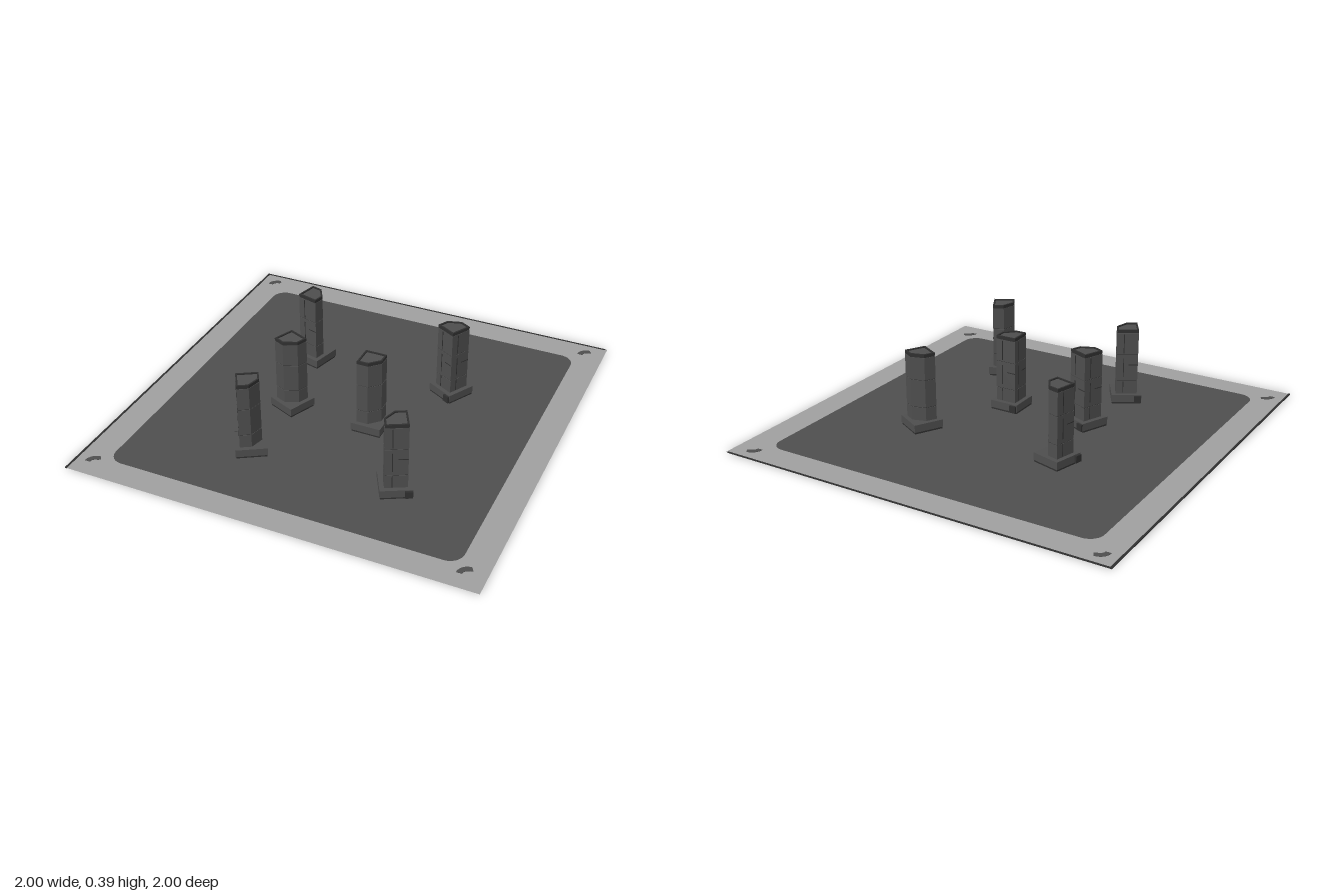
import * as THREE from 'three';

const mat = (name, color, side = THREE.FrontSide) => {
  const m = new THREE.MeshStandardMaterial({ color, side });
  m.name = name;
  return m;
};

// Shape drawn in (x, z), extruded from height y0 up to y1
function prism(shape, y0, y1) {
  const g = new THREE.ExtrudeGeometry(shape, { depth: y1 - y0, bevelEnabled: false, curveSegments: 8 });
  return g.rotateX(Math.PI / 2).translate(0, y1, 0);
}

function add(parent, name, geometry, material) {
  const m = new THREE.Mesh(geometry, material);
  m.name = name;
  parent.add(m);
  return m;
}

// Square of half width h with its +x +z corner cut off
const cutSquare = (h, cut) => new THREE.Shape([
  [-h, -h], [h, -h], [h, h - cut], [h - cut, h], [-h, h],
].map(([x, y]) => new THREE.Vector2(x, y)));

function roundedSquare(path, x0, x1, y0, y1, r) {
  path.moveTo(x0 + r, y0);
  path.lineTo(x1 - r, y0).absarc(x1 - r, y0 + r, r, -Math.PI / 2, 0);
  path.lineTo(x1, y1 - r).absarc(x1 - r, y1 - r, r, 0, Math.PI / 2);
  path.lineTo(x0 + r, y1).absarc(x0 + r, y1 - r, r, Math.PI / 2, Math.PI);
  path.lineTo(x0, y0 + r).absarc(x0 + r, y0 + r, r, Math.PI, Math.PI * 1.5);
  return path;
}

function createTower(stone, trim) {
  const tower = new THREE.Group();
  const box = (name, w, h, d, x, y, z, m) =>
    add(tower, name, new THREE.BoxGeometry(w, h, d).translate(x, y, z), m);

  // plinth with a narrow foot and a small tab
  box('plinthFoot', 0.145, 0.012, 0.145, 0, 0.006, 0, trim);
  box('plinth', 0.15, 0.038, 0.15, 0, 0.031, 0, stone);
  box('plinthTab', 0.035, 0.035, 0.014, -0.056, 0.028, -0.078, trim);

  // column sections separated by recessed seams
  const levels = [0.05, 0.12, 0.26, 0.375];
  for (let i = 0; i < 3; i++) {
    add(tower, 'columnSection', prism(cutSquare(0.053, 0.05), levels[i], levels[i + 1] - 0.003), stone);
    add(tower, 'columnSeam', prism(cutSquare(0.051, 0.049), levels[i + 1] - 0.003, levels[i + 1]), trim);
  }

  // raised rim around the roof
  const rim = cutSquare(0.053, 0.05);
  rim.holes.push(cutSquare(0.045, 0.045));
  add(tower, 'roofRim', prism(rim, 0.375, 0.39), trim);
  add(tower, 'roof', prism(cutSquare(0.0455, 0.045), 0.375, 0.384), stone);

  // thin panel lines on the full-width walls
  for (const y of [0.085, 0.19, 0.317]) {
    const h = y < 0.1 ? 0.062 : 0.1;
    box('panelLine', 0.004, h, 0.003, 0.018, y, -0.053, trim);
    box('panelLine', 0.003, h, 0.004, -0.053, y, -0.018, trim);
  }
  box('panelLine', 0.045, 0.004, 0.003, -0.03, 0.205, -0.053, trim);
  box('panelLine', 0.003, 0.004, 0.045, -0.053, 0.205, 0.03, trim);
  return tower;
}

export function createModel() {
  const stone = mat('dark grey', 0x4e4e4e);
  const floorMat = mat('floor grey', 0x4f4f4f, THREE.DoubleSide);
  const borderMat = mat('border grey', 0x9f9f9f, THREE.DoubleSide);
  const trim = mat('charcoal trim', 0x303030);
  const model = new THREE.Group();
  model.name = 'towerField';

  // flat ground: rounded dark field inside a light border
  const inner = [-0.855, 0.865, -0.85, 0.87, 0.07];
  const field = roundedSquare(new THREE.Shape(), ...inner);
  const border = new THREE.Shape([[-1, -1], [1, -1], [1, 1], [-1, 1]].map(p => new THREE.Vector2(...p)));
  border.holes.push(roundedSquare(new THREE.Path(), ...inner));
  const flat = s => {
    const g = new THREE.ShapeGeometry(s, 8).scale(1, -1, 1);
    // reverse the winding after the flip so the face looks up
    const ix = g.index.array;
    for (let i = 0; i < ix.length; i += 3) [ix[i], ix[i + 1]] = [ix[i + 1], ix[i]];
    g.rotateX(-Math.PI / 2).translate(0, 0.003, 0);
    g.computeVertexNormals();
    return g;
  };
  add(model, 'groundField', flat(field), floorMat);
  add(model, 'groundBorder', flat(border), borderMat);

  // dark edging along two sides
  add(model, 'leftEdge', new THREE.BoxGeometry(0.01, 0.004, 2).translate(-0.995, 0.003, 0), trim);
  add(model, 'backEdge', new THREE.BoxGeometry(1.98, 0.004, 0.008).translate(0, 0.003, -0.996), trim);

  // curved corner marks
  const mark = new THREE.Shape();
  mark.absarc(0.025, 0.022, 0.052, Math.PI, Math.PI * 1.5, false);
  mark.lineTo(0.036, -0.012);
  mark.absarc(0.025, 0.022, 0.026, Math.PI * 1.5, Math.PI, true);
  for (const x of [-0.92, 0.895]) for (const z of [-0.92, 0.895]) {
    add(model, 'cornerMark', prism(mark, 0.001, 0.005), stone).position.set(x, 0, z);
  }

  // six towers: x, z, clockwise turn in degrees
  const places = [
    [-0.36, -0.3, -75], [0.39, -0.295, 209], [-0.275, 0.13, 23],
    [0.145, 0.13, 0], [-0.295, 0.52, -31], [0.43, 0.52, 152],
  ];
  places.forEach(([x, z, turn], i) => {
    const t = createTower(stone, trim);
    t.name = `tower${i + 1}`;
    t.position.set(x, 0, z);
    t.rotation.y = -THREE.MathUtils.degToRad(turn);
    model.add(t);
  });
  return model;
}
